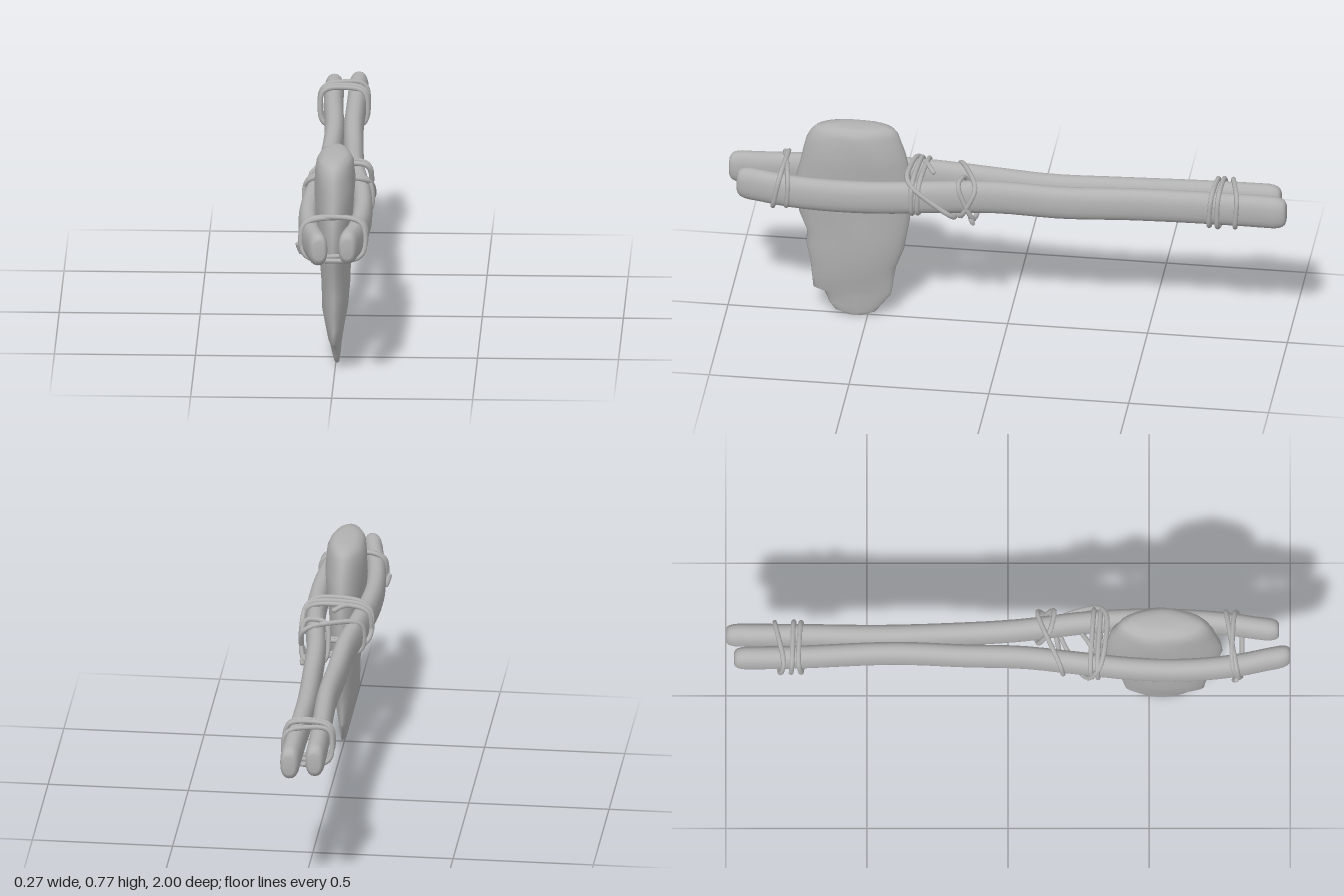
import * as THREE from 'three';

const grey = new THREE.MeshStandardMaterial({ color: 0xb2b2b2 });
grey.name = 'stone grey';

function add(parent, name, geometry) {
  const mesh = new THREE.Mesh(geometry, grey);
  mesh.name = name;
  parent.add(mesh);
}

// Skins closed rings of points and closes both ends with a fan
function loft(rings) {
  const n = rings[0].length, pos = [], index = [];
  for (const ring of rings) for (const p of ring) pos.push(p.x, p.y, p.z);
  for (let i = 0; i < rings.length - 1; i++) {
    for (let j = 0; j < n; j++) {
      const k = (j + 1) % n, a = i * n + j, b = i * n + k;
      index.push(a, b, b + n, a, b + n, a + n);
    }
  }
  [0, rings.length - 1].forEach((r, end) => {
    const c = new THREE.Vector3();
    rings[r].forEach(p => c.addScaledVector(p, 1 / n));
    const centre = pos.length / 3;
    pos.push(c.x, c.y, c.z);
    for (let j = 0; j < n; j++) {
      const a = r * n + j, b = r * n + (j + 1) % n;
      if (end) index.push(centre, a, b); else index.push(centre, b, a);
    }
  });
  const g = new THREE.BufferGeometry();
  g.setAttribute('position', new THREE.Float32BufferAttribute(pos, 3));
  g.setIndex(index);
  g.computeVertexNormals();
  return g;
}

// Bent pole with an oval section and rounded ends; path runs from back to front
function pole(path, halfWidth, halfHeight) {
  const curve = new THREE.CatmullRomCurve3(path.map(p => new THREE.Vector3(...p)));
  const steps = [0, 0.002, 0.006, 0.013, 0.022];
  const scale = [0.55, 0.72, 0.86, 0.95, 1];
  const stations = steps.map((t, i) => [t, scale[i]]);
  for (let i = 1; i < 36; i++) stations.push([0.022 + i * 0.956 / 36, 1]);
  for (let i = 4; i >= 0; i--) stations.push([1 - steps[i], scale[i]]);
  return loft(stations.map(([t, s]) => {
    const c = curve.getPointAt(t), ring = [];
    for (let j = 0; j < 20; j++) {
      const a = j / 20 * Math.PI * 2;
      const co = Math.cos(a), si = Math.sin(a);
      ring.push(new THREE.Vector3(
        c.x + halfWidth * s * Math.sign(co) * Math.abs(co) ** 0.85,
        c.y + halfHeight * s * Math.sign(si) * Math.abs(si) ** 0.85, c.z));
    }
    return ring;
  }));
}

// Stone blade; rows are [y, z back, z front, x min, x max]
function blade() {
  const rows = [
    [0, 0.52, 0.57, -0.003, 0.012], [0.015, 0.475, 0.615, -0.007, 0.014],
    [0.04, 0.455, 0.635, -0.013, 0.017], [0.085, 0.42, 0.655, -0.023, 0.021],
    [0.1, 0.415, 0.695, -0.027, 0.024], [0.15, 0.408, 0.7, -0.037, 0.033],
    [0.2, 0.4, 0.705, -0.048, 0.043], [0.28, 0.37, 0.72, -0.051, 0.049],
    [0.33, 0.362, 0.718, -0.055, 0.05], [0.4, 0.35, 0.745, -0.059, 0.053],
    [0.48, 0.345, 0.76, -0.064, 0.056], [0.56, 0.345, 0.755, -0.069, 0.062],
    [0.62, 0.355, 0.74, -0.074, 0.067], [0.67, 0.365, 0.73, -0.074, 0.07],
    [0.71, 0.38, 0.72, -0.074, 0.064], [0.74, 0.39, 0.705, -0.07, 0.062],
    [0.76, 0.405, 0.685, -0.06, 0.053], [0.77, 0.43, 0.65, -0.042, 0.04],
    [0.774, 0.47, 0.61, -0.025, 0.022],
  ];
  return loft(rows.map(([y, z0, z1, x0, x1], i) => {
    const ring = [];
    for (let j = 0; j < 28; j++) {
      const a = j / 28 * Math.PI * 2, co = Math.cos(a), si = Math.sin(a);
      const chip = 1 + 0.035 * Math.sin(a * 5 + i * 0.9) * Math.abs(co);
      ring.push(new THREE.Vector3(
        (x0 + x1) / 2 + (x1 - x0) / 2 * Math.sign(co) * Math.abs(co) ** 1.1 * chip,
        y, (z0 + z1) / 2 - (z1 - z0) / 2 * si));
    }
    return ring;
  }));
}

const ROPE = 0.009;

// One turn of cord; z is given at its corners: top right, top left, bottom left, bottom right (+x is right here)
function turn([x0, x1], [y0, y1], [tr, tl, bl, br]) {
  const points = [];
  for (let i = 0; i < 32; i++) {
    const a = (i + 0.5) / 32 * Math.PI * 2, co = Math.cos(a), si = Math.sin(a);
    const u = Math.sign(co) * Math.abs(co) ** 0.6, v = Math.sign(si) * Math.abs(si) ** 0.6;
    const top = THREE.MathUtils.lerp(tl, tr, (u + 1) / 2);
    const bottom = THREE.MathUtils.lerp(bl, br, (u + 1) / 2);
    points.push(new THREE.Vector3(
      THREE.MathUtils.lerp(x0, x1, (u + 1) / 2),
      THREE.MathUtils.lerp(y0, y1, (v + 1) / 2),
      THREE.MathUtils.lerp(bottom, top, (v + 1) / 2)));
  }
  return new THREE.TubeGeometry(new THREE.CatmullRomCurve3(points, true), 72, ROPE, 7, true);
}

function tail(points) {
  const rings = new THREE.CatmullRomCurve3(points.map(p => new THREE.Vector3(...p)));
  return new THREE.TubeGeometry(rings, 10, ROPE, 7);
}

function lashing(name, turns, tails = []) {
  const group = new THREE.Group();
  group.name = name;
  turns.forEach(t => add(group, 'cordTurn', turn(...t)));
  tails.forEach(t => {
    add(group, 'cordEnd', tail(t));
    for (const p of [t[0], t[t.length - 1]]) {
      const tip = new THREE.SphereGeometry(ROPE, 7, 5);
      tip.translate(...p);
      add(group, 'cordTip', tip);
    }
  });
  return group;
}

export function createModel() {
  const model = new THREE.Group();
  model.name = 'stoneAxe';

  add(model, 'stoneBlade', blade());

  // Two bent poles clamping the blade
  add(model, 'rightPole', pole([
    [-0.057, 0.547, -0.97], [-0.053, 0.547, -0.75], [-0.038, 0.545, -0.4], [-0.044, 0.535, -0.15],
    [-0.052, 0.542, 0.05], [-0.074, 0.542, 0.25], [-0.093, 0.535, 0.45], [-0.096, 0.53, 0.62],
    [-0.08, 0.53, 0.8], [-0.056, 0.538, 0.93], [-0.045, 0.545, 1]], 0.035, 0.061));
  add(model, 'leftPole', pole([
    [0.03, 0.547, -1], [0.029, 0.547, -0.75], [0.028, 0.54, -0.45], [0.038, 0.533, -0.2],
    [0.048, 0.543, 0.03], [0.075, 0.543, 0.25], [0.09, 0.535, 0.42], [0.092, 0.53, 0.6],
    [0.078, 0.53, 0.78], [0.058, 0.536, 0.9], [0.053, 0.538, 0.96]], 0.035, 0.061));

  // Cord in front of the blade
  model.add(lashing('frontLashing', [
    [[-0.116, 0.114], [0.463, 0.604], [0.77, 0.81, 0.82, 0.775]],
    [[-0.114, 0.112], [0.457, 0.608], [0.80, 0.79, 0.83, 0.83]],
  ], [[[-0.115, 0.48, 0.8], [-0.122, 0.497, 0.805], [-0.126, 0.512, 0.81]]]));

  // Crossed cord behind the blade
  model.add(lashing('middleLashing', [
    [[-0.118, 0.12], [0.471, 0.615], [0.305, 0.29, 0.3, 0.31]],
    [[-0.12, 0.122], [0.469, 0.617], [0.33, 0.315, 0.32, 0.33]],
    [[-0.12, 0.124], [0.466, 0.62], [0.36, 0.335, 0.27, 0.15]],
    [[-0.105, 0.112], [0.468, 0.612], [0.09, 0.185, 0.2, 0.16]],
    [[0.015, 0.112], [0.47, 0.613], [0.17, 0.15, 0.1, 0.11]],
  ], [
    [[0.1, 0.485, 0.12], [0.107, 0.475, 0.115], [0.106, 0.464, 0.11]],
    [[-0.05, 0.612, 0.3], [-0.02, 0.615, 0.285], [0.01, 0.605, 0.265]],
  ]));

  // Cord binding the grip end
  model.add(lashing('rearLashing', [
    [[-0.1, 0.068], [0.475, 0.617], [-0.735, -0.745, -0.73, -0.725]],
    [[-0.1, 0.07], [0.473, 0.619], [-0.76, -0.765, -0.77, -0.755]],
    [[-0.102, 0.068], [0.476, 0.617], [-0.83, -0.79, -0.81, -0.82]],
  ]));

  return model;
}
